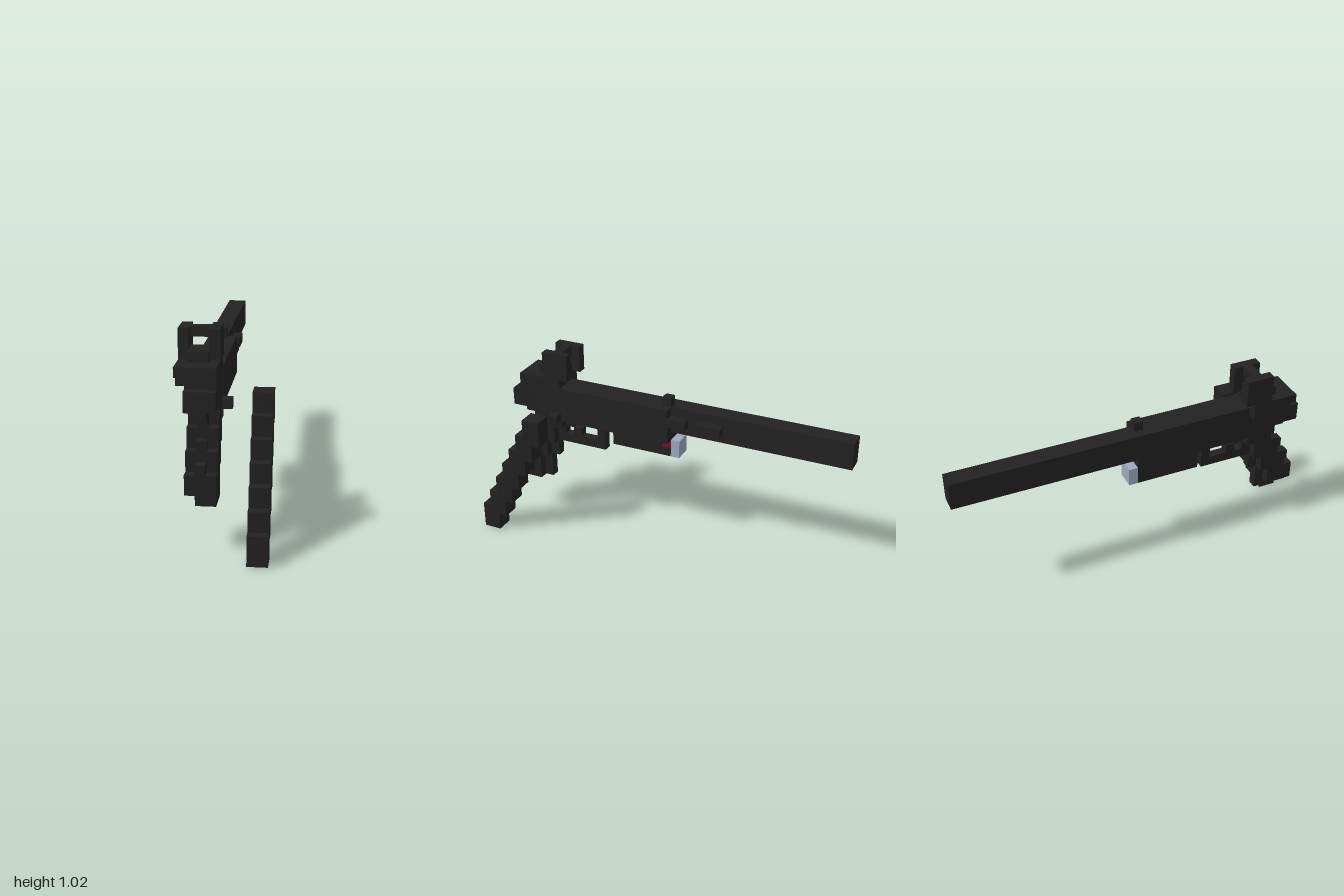
import * as THREE from 'three';

// One block unit; the model is 9 x 21 x 41 blocks.
const V = 2 / 41;

export function createModel() {
  const group = new THREE.Group();
  const material = (name, color) => {
    const m = new THREE.MeshStandardMaterial({ color });
    m.name = name;
    return m;
  };
  const black = material('black', 0x222222);
  const red = material('red', 0x8b0a10);
  const glass = material('paleBlue', 0x9ca9bf);

  // Inclusive block ranges: x from the right, y from the ground, z counted back from the front.
  function part(name, [x0, x1], [y0, y1], [z0, z1], mat = black) {
    const geo = new THREE.BoxGeometry((x1 - x0 + 1) * V, (y1 - y0 + 1) * V, (z1 - z0 + 1) * V);
    const mesh = new THREE.Mesh(geo, mat);
    mesh.name = name;
    mesh.position.set(((x0 + x1 + 1) / 2 - 4.5) * V, ((y0 + y1 + 1) / 2) * V, 1 - ((z0 + z1 + 1) / 2) * V);
    group.add(mesh);
  }

  // Detached magazine: seven overlapping steps
  for (let s = 0; s < 7; s++) part('magazine', [7, 8], [2 * s, 2 * s + 2], [s, s + 1]);

  // Barrel, receiver and side rails
  part('barrel', [1, 2], [14, 16], [21, 40]);
  part('receiver', [1, 3], [13, 16], [5, 20]);
  part('sideRail', [3, 3], [15, 15], [21, 22]);
  part('sideRail', [3, 3], [15, 15], [24, 26]);
  part('frontSight', [2, 2], [17, 17], [20, 20]);
  part('releaseButton', [4, 4], [13, 13], [7, 7]);

  // Stepped rear of the receiver
  part('receiverRear', [1, 3], [14, 15], [2, 4]);
  part('receiverRear', [1, 3], [16, 16], [3, 4]);
  part('receiverRear', [2, 2], [13, 13], [3, 4]);
  part('rearPlate', [0, 3], [17, 17], [3, 7]);
  part('rearPlateLip', [0, 0], [16, 16], [4, 7]);

  // Rear sight: two posts, a base and a top bridge
  for (const x of [0, 3]) part('sightPost', [x, x], [18, 20], [6, 8]);
  part('sightBase', [1, 2], [18, 18], [5, 7]);
  part('sightBridge', [1, 2], [20, 20], [7, 7]);

  // Grip: a central core with shorter rounded sides
  part('gripCore', [2, 2], [5, 8], [2, 5]);
  part('gripCore', [2, 2], [8, 10], [3, 6]);
  part('gripCore', [2, 2], [11, 12], [4, 7]);
  part('gripFoot', [3, 3], [5, 5], [2, 4]);
  for (const x of [1, 3]) {
    part('gripSide', [x, x], [6, 7], [2, 4]);
    part('gripSide', [x, x], [8, 9], [3, 5]);
    part('gripSide', [x, x], [10, 11], [4, 6]);
    part('gripSide', [x, x], [12, 13], [5, 7]);
  }

  // Trigger and guard
  part('trigger', [2, 2], [12, 12], [8, 8]);
  part('trigger', [2, 2], [11, 11], [9, 9]);
  part('triggerGuard', [2, 2], [10, 10], [7, 12]);
  part('triggerGuard', [2, 2], [11, 12], [12, 12]);

  // Lamp under the barrel
  part('lampBody', [1, 2], [11, 12], [14, 19]);
  part('lampBody', [1, 2], [11, 11], [20, 20]);
  part('lampBody', [1, 1], [12, 12], [20, 20]);
  part('lampSwitch', [2, 2], [12, 12], [20, 20], red);
  part('lampLens', [1, 2], [11, 12], [21, 21], glass);

  return group;
}
